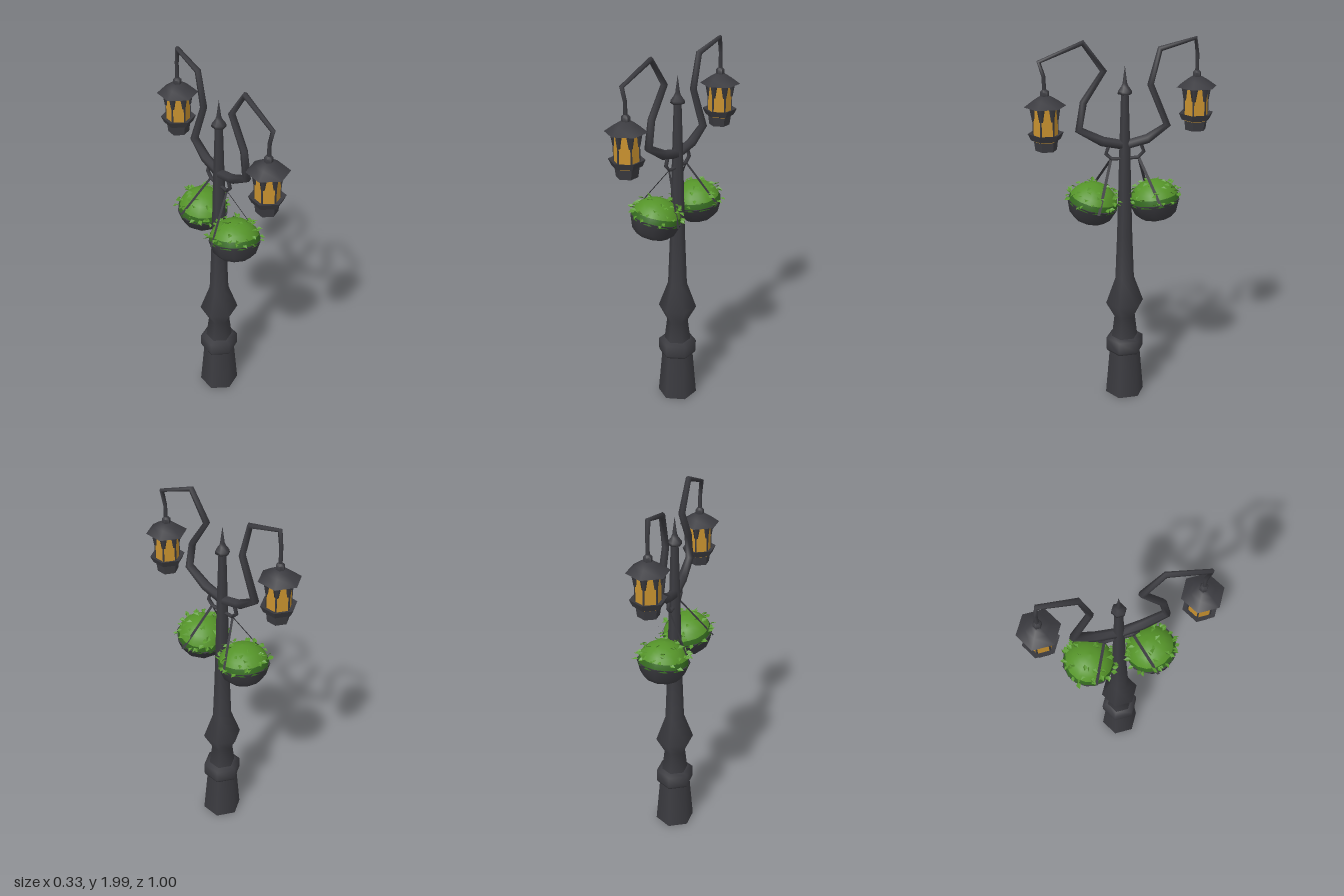
import * as THREE from 'three';
import { mergeGeometries, toCreasedNormals } from 'three/addons/utils/BufferGeometryUtils.js';

const X0 = 0.01; // the post, arms and lanterns share this centre plane

export function createModel() {
  const root = new THREE.Group();
  root.name = 'streetLamp';
  const material = (name, color, side = THREE.FrontSide) => {
    const m = new THREE.MeshStandardMaterial({ color, side });
    m.name = name;
    return m;
  };
  const iron = material('darkIron', 0x3b3b40, THREE.DoubleSide);
  const glass = material('amberGlass', 0xc9922f);
  const foliage = material('foliageGreen', 0x559429);
  const shade = material('deepGreen', 0x34691f);
  const leafGreen = material('leafGreen', 0x5a9a30, THREE.DoubleSide);

  const add = (parent, name, geometry, mat) => {
    const mesh = new THREE.Mesh(geometry, mat);
    mesh.name = name;
    parent.add(mesh);
    return mesh;
  };
  const lathe = (profile, sides) =>
    new THREE.LatheGeometry(profile.map(([r, y]) => new THREE.Vector2(r, y)), sides);

  // Hexagonal tube along a path of [z, y, radius] in the centre plane
  const taperedTube = (path) => {
    const pos = [], index = [], n = 6;
    const X = new THREE.Vector3(1, 0, 0);
    const pts = path.map(([z, y]) => new THREE.Vector3(X0, y, z));
    pts.forEach((p, i) => {
      const before = p.clone().sub(pts[Math.max(i - 1, 0)]).normalize();
      const after = pts[Math.min(i + 1, pts.length - 1)].clone().sub(p).normalize();
      const T = before.add(after).normalize();
      const N = new THREE.Vector3().crossVectors(X, T);
      for (let j = 0; j < n; j++) {
        const a = (j / n) * Math.PI * 2;
        const v = p.clone().addScaledVector(N, path[i][2] * Math.cos(a)).addScaledVector(X, path[i][2] * Math.sin(a));
        pos.push(v.x, v.y, v.z);
        if (i < pts.length - 1) {
          const k = i * n + j, l = i * n + ((j + 1) % n);
          index.push(k, l, k + n, l, l + n, k + n);
        }
      }
    });
    const g = new THREE.BufferGeometry();
    g.setAttribute('position', new THREE.Float32BufferAttribute(pos, 3));
    g.setIndex(index);
    g.computeVertexNormals();
    return g;
  };

  // Post with plinth, collar, bulge and finial
  const post = new THREE.Group();
  post.name = 'post';
  post.position.set(X0, 0, -0.015);
  root.add(post);
  add(post, 'plinth', lathe([[0, 0], [0.108, 0], [0.108, 0], [0.085, 0.27]], 6), iron);
  add(post, 'collar', lathe([[0.08, 0.255], [0.098, 0.262], [0.104, 0.275], [0.104, 0.34], [0.07, 0.35]], 6), iron);
  add(post, 'shaft', lathe([[0.073, 0.345], [0.058, 0.47], [0.104, 0.555], [0.052, 0.7],
    [0.042, 0.95], [0.035, 1.2], [0.03, 1.4], [0.02, 1.72]], 6), iron);
  add(post, 'finial', lathe([[0, 1.715], [0.038, 1.715], [0.036, 1.73], [0.018, 1.755], [0.012, 1.77], [0, 1.86]], 6), iron);

  // Crooked arms carrying the lanterns
  add(root, 'frontArm', taperedTube([[-0.015, 1.445, 0.025], [0.103, 1.472, 0.026], [0.225, 1.54, 0.022],
    [0.2, 1.68, 0.019], [0.095, 1.835, 0.018], [0.2, 1.98, 0.015], [0.42, 1.895, 0.012], [0.398, 1.82, 0.01], [0.397, 1.73, 0.01]]), iron);
  add(root, 'backArm', taperedTube([[-0.015, 1.445, 0.025], [-0.135, 1.472, 0.026], [-0.24, 1.54, 0.022],
    [-0.15, 1.757, 0.018], [-0.198, 1.935, 0.016], [-0.384, 1.982, 0.013], [-0.395, 1.9, 0.01], [-0.395, 1.79, 0.01]]), iron);

  // Hanger bar below the arms, bent up at both ends
  add(root, 'hangerBar', taperedTube([[0.065, 1.46, 0.01], [0.085, 1.405, 0.01], [0.055, 1.375, 0.01],
    [-0.085, 1.375, 0.01], [-0.117, 1.405, 0.01], [-0.097, 1.46, 0.01]]), iron);

  // Hexagonal lantern, built upward from its own bottom
  const addLantern = (name, y, z) => {
    const g = new THREE.Group();
    g.name = name;
    g.position.set(X0, y, z);
    root.add(g);
    const part = (n, profile, mat) => add(g, n, toCreasedNormals(lathe(profile, 6), 0.8), mat);
    part('lanternFoot', [[0, 0], [0.055, 0], [0.062, 0.052], [0.076, 0.056], [0.092, 0.09], [0.066, 0.082]], iron);
    part('lanternGlass', [[0.064, 0.05], [0.064, 0.232]], glass);
    part('lanternRoof', [[0, 0.225], [0.072, 0.225], [0.107, 0.227], [0.06, 0.26], [0.03, 0.278],
      [0.022, 0.28], [0.022, 0.302], [0.012, 0.312], [0, 0.312]], iron);
    for (let i = 0; i < 6; i++) {
      const corner = new THREE.Group();
      corner.name = 'lanternCorner';
      corner.rotation.y = (i * Math.PI) / 3;
      g.add(corner);
      // bracket under the eaves, with a slim bar along the glass edge
      const bracket = add(corner, 'bracket', new THREE.CylinderGeometry(0.022, 0.01, 0.07, 4, 1), iron);
      bracket.position.set(0, 0.192, 0.058);
      const bar = add(corner, 'glazingBar', new THREE.BoxGeometry(0.008, 0.16, 0.008), iron);
      bar.position.set(0, 0.15, 0.062);
    }
  };
  addLantern('frontLantern', 1.445, 0.395);
  addLantern('backLantern', 1.507, -0.395);

  // Small seeded generator for the leaf scatter
  let seed = 11;
  const rand = () => (seed = (seed * 16807) % 2147483647) / 2147483647;

  // Folded pointed leaf along +z
  const leaf = new THREE.BufferGeometry();
  leaf.setAttribute('position', new THREE.Float32BufferAttribute(
    [0, 0, 0, 0.015, 0.007, 0.018, 0, 0, 0.042, 0, 0, 0, 0, 0, 0.042, -0.015, 0.007, 0.018], 3));
  leaf.setIndex([0, 2, 1, 3, 5, 4]);
  leaf.computeVertexNormals();

  // Hanging basket: bowl, mound of foliage and leaves
  const addBasket = (name, x, y, z, tiltX, tiltZ) => {
    const g = new THREE.Group();
    g.name = name;
    g.position.set(x, y, z);
    g.rotation.set(tiltX, 0, tiltZ);
    root.add(g);
    add(g, 'bowl', toCreasedNormals(lathe([[0, -0.085], [0.085, -0.085], [0.115, -0.055], [0.139, 0.012], [0.128, 0.012]], 10), 0.7), iron);
    const arc = (from, to, steps) => Array.from({ length: steps + 1 }, (_, i) => {
      const a = from + ((to - from) * i) / steps;
      return [Math.max(0, 0.133 * Math.cos(a)), 0.118 * Math.sin(a)];
    });
    add(g, 'lowerFoliage', lathe(arc(0, 0.35, 2), 16), shade);
    add(g, 'upperFoliage', lathe(arc(0.35, Math.PI / 2, 5), 16), foliage);
    const leaves = [];
    const dummy = new THREE.Object3D();
    for (let i = 0; i < 52; i++) {
      const a = i * 2.39996 + rand() * 0.4;
      const e = i < 36 ? 0.1 + rand() * 0.6 : 0.7 + rand() * 0.6;
      dummy.position.set(0.131 * Math.cos(e) * Math.sin(a), 0.118 * Math.sin(e), 0.131 * Math.cos(e) * Math.cos(a));
      dummy.rotation.set(-0.5 + rand() * 0.9, a + (rand() - 0.5) * 1.8, (rand() - 0.5) * 1.4, 'YXZ');
      dummy.scale.setScalar(0.65 + rand() * 0.3);
      dummy.updateMatrix();
      leaves.push(leaf.clone().applyMatrix4(dummy.matrix));
    }
    add(g, 'leaves', mergeGeometries(leaves), leafGreen);
  };
  addBasket('frontBasket', -0.006, 1.13, 0.155, -0.2, -0.12);
  addBasket('backBasket', 0.016, 1.128, -0.178, 0.12, 0.04);

  // Flat straps from the hanger bar to the basket rims
  const addStrap = (name, z0, x1, y1, z1) => {
    const w = 0.008;
    const s = new THREE.BufferGeometry();
    s.setAttribute('position', new THREE.Float32BufferAttribute(
      [X0, 1.375, z0 - w, X0, 1.375, z0 + w, x1, y1, z1 + w, x1, y1, z1 - w], 3));
    s.setIndex(x1 > X0 ? [0, 1, 2, 0, 2, 3] : [0, 2, 1, 0, 3, 2]);
    s.computeVertexNormals();
    add(root, name, s, iron);
  };
  for (const side of [-1, 1]) {
    addStrap('frontStrap', 0.058, -0.006 + side * 0.145, 1.13 - side * 0.015, 0.152);
    addStrap('backStrap', -0.09, 0.016 + side * 0.141, 1.145, -0.173);
  }
  return root;
}
